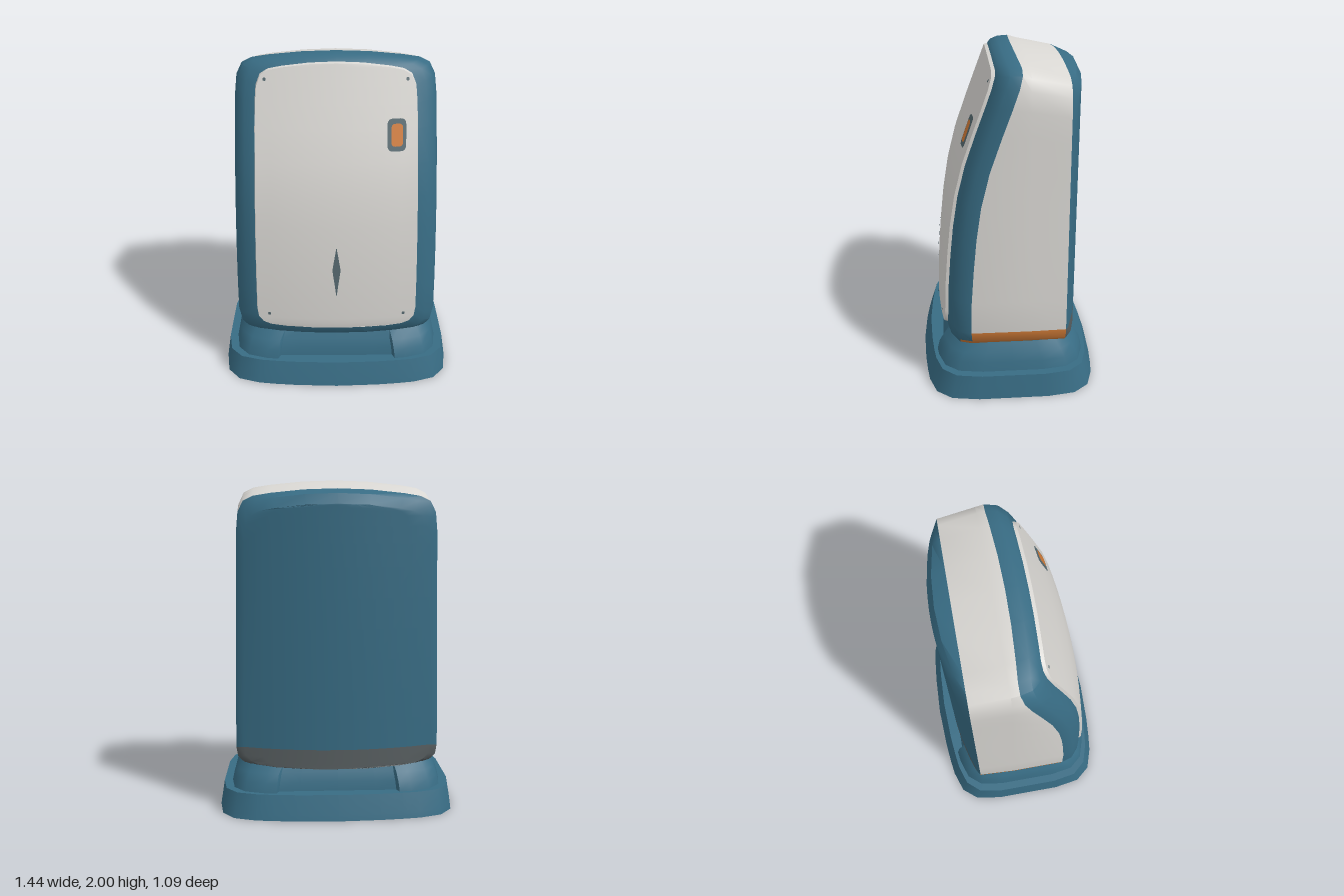
import * as THREE from 'three';
import { toCreasedNormals } from 'three/addons/utils/BufferGeometryUtils.js';

const mat = (name, color) => {
  const m = new THREE.MeshStandardMaterial({ color });
  m.name = name;
  return m;
};

// Collects triangles by colour and makes one smooth mesh with edges kept sharp
class Builder {
  constructor() { this.lists = new Map(); }
  tri(m, a, b, c) {
    const area = b.clone().sub(a).cross(c.clone().sub(a)).length();
    if (area < 1e-8) return;
    if (!this.lists.has(m)) this.lists.set(m, []);
    this.lists.get(m).push(a, b, c);
  }
  quad(m, a, b, c, d) { this.tri(m, a, b, c); this.tri(m, a, c, d); }
  // Joins two closed rings; pick(centre) returns the colour of each face
  band(r0, r1, pick) {
    r0.forEach((a, i) => {
      const j = (i + 1) % r0.length;
      const mid = a.clone().add(r0[j]).add(r1[i]).add(r1[j]).multiplyScalar(0.25);
      this.quad(pick(mid), a, r0[j], r1[j], r1[i]);
    });
  }
  fan(m, ring, up) {
    const c = new THREE.Vector3(0, ring[0].y, 0);
    ring.forEach((a, i) => {
      const b = ring[(i + 1) % ring.length];
      up ? this.tri(m, c, a, b) : this.tri(m, c, b, a);
    });
  }
  mesh(name, crease) {
    const pts = [], mats = [...this.lists.keys()];
    let geo = new THREE.BufferGeometry();
    mats.forEach((m, k) => {
      const l = this.lists.get(m);
      geo.addGroup(pts.length, l.length, k);
      pts.push(...l);
    });
    geo.setFromPoints(pts);
    geo = toCreasedNormals(geo, crease);
    const mesh = new THREE.Mesh(geo, mats.length > 1 ? mats : mats[0]);
    mesh.name = name;
    return mesh;
  }
}

// Curved front: depth by height, with a slight bulge across the width
const FRONT = [[0.27, 0.425], [0.4, 0.44], [0.6, 0.435], [0.8, 0.42], [1.0, 0.4], [1.2, 0.37],
  [1.4, 0.32], [1.6, 0.25], [1.8, 0.175], [2.0, 0.1]];
function frontZ(x, y) {
  let k = 0;
  while (k < FRONT.length - 2 && y > FRONT[k + 1][0]) k++;
  const [y0, z0] = FRONT[k], [y1, z1] = FRONT[k + 1];
  return z0 + (z1 - z0) * (y - y0) / (y1 - y0) - 0.16 * x * x;
}
const backZ = (x) => -0.44 + 0.3 * x * x;

// Right half of the body outline, bottom centre to top centre
const HALF = [[0, 0.27], [0.2, 0.27], [0.4, 0.275], [0.52, 0.285], [0.58, 0.305], [0.615, 0.34],
  [0.625, 0.4], [0.623, 0.6], [0.62, 0.8], [0.616, 1.0], [0.612, 1.2], [0.608, 1.4], [0.605, 1.6],
  [0.602, 1.75], [0.592, 1.86], [0.56, 1.925], [0.5, 1.955], [0.4, 1.972], [0.2, 1.993], [0, 2]];

const fit = ([x, y], sx, bottom, top) => [x * sx, bottom + (y - 0.27) / 1.73 * (top - bottom)];

function bodyRing(sx, bottom, top, zOf) {
  const left = HALF.slice(1, -1).reverse().map(([x, y]) => [-x, y]);
  return [...HALF, ...left].map((p) => {
    const [x, y] = fit(p, sx, bottom, top);
    return new THREE.Vector3(x, y, zOf(x, y));
  });
}

// Bulged face that fills an outline, row by row
function face(b, sx, bottom, top, zOf, forward, pick) {
  const cols = 10;
  const rows = HALF.map((p) => {
    const [w, y] = fit(p, sx, bottom, top);
    return Array.from({ length: cols + 1 }, (_, j) => {
      const x = w * (2 * j / cols - 1);
      return new THREE.Vector3(x, y, zOf(x, y));
    });
  });
  for (let i = 0; i < rows.length - 1; i++) {
    for (let j = 0; j < cols; j++) {
      const q = [rows[i][j], rows[i][j + 1], rows[i + 1][j + 1], rows[i + 1][j]];
      const m = pick((q[0].y + q[2].y) / 2);
      forward ? b.quad(m, ...q) : b.quad(m, q[3], q[2], q[1], q[0]);
    }
  }
}

// Quarter of the base outline, side to front, mirrored into a full ring
const QUARTER = [[1, 0], [1, 0.38], [0.965, 0.68], [0.86, 0.85], [0.68, 0.93], [0.57, 0.95],
  [0.545, 0.955], [0.35, 0.98], [0, 1]];
function baseRing(y, w, d, notch = Infinity) {
  const quarter = (sx, sz) => QUARTER.map(([u, v]) => new THREE.Vector3(
    sx * u * w, y, sz * (u < 0.56 ? Math.min(v * d, notch) : v * d)));
  return [...quarter(1, -1).slice(0, -1), ...quarter(-1, -1).reverse().slice(0, -1),
    ...quarter(-1, 1).slice(0, -1), ...quarter(1, 1).reverse().slice(0, -1)];
}

// Thin plate that follows the front panel
function plate(name, shape, m, lift) {
  const geo = new THREE.ShapeGeometry(shape, 6);
  const p = geo.attributes.position;
  for (let i = 0; i < p.count; i++) p.setZ(i, frontZ(p.getX(i), p.getY(i)) + lift);
  geo.computeVertexNormals();
  const mesh = new THREE.Mesh(geo, m);
  mesh.name = name;
  return mesh;
}
function pill(cx, cy, w, h, r) {
  const s = new THREE.Shape(), x = cx - w / 2, y = cy - h / 2;
  s.moveTo(x + r, y);
  s.lineTo(x + w - r, y); s.quadraticCurveTo(x + w, y, x + w, y + r);
  s.lineTo(x + w, y + h - r); s.quadraticCurveTo(x + w, y + h, x + w - r, y + h);
  s.lineTo(x + r, y + h); s.quadraticCurveTo(x, y + h, x, y + h - r);
  s.lineTo(x, y + r); s.quadraticCurveTo(x, y, x + r, y);
  return s;
}

export function createModel() {
  const group = new THREE.Group();
  group.name = 'cabinet';
  const teal = mat('teal', 0x386c84), white = mat('white', 0xd9d7d3);
  const orange = mat('orange', 0xd07b37), grey = mat('grey', 0x566970), darkGrey = mat('darkGrey', 0x585f61);

  // Body shell: back face, rounded back edge, white wrap, teal front frame
  const shell = new Builder();
  const backPick = (y) => (y < 0.39 ? darkGrey : teal);
  const rings = [
    bodyRing(0.9, 0.285, 1.85, backZ),
    bodyRing(0.95, 0.275, 1.91, (x) => Math.min(backZ(x) + 0.03, -0.335)),
    bodyRing(0.98, 0.27, 1.94, () => -0.32),
    bodyRing(1, 0.27, 1.985, () => -0.1),
    bodyRing(1, 0.27, 2, (x, y) => frontZ(x, y) - 0.13),
    bodyRing(0.97, 0.275, 1.998, (x, y) => frontZ(x, y) - 0.065),
    bodyRing(0.89, 0.305, 1.985, (x, y) => frontZ(x, y) - 0.028),
    bodyRing(0.79, 0.36, 1.965, (x, y) => frontZ(x, y) - 0.018),
  ];
  const rim = (c) => backPick(c.y);
  const wrap = (c) => (c.y < 0.39 ? (Math.abs(c.x) > 0.45 ? orange : teal) : white);
  const corner = (c) => (c.x > 0.5 && c.y < 0.37 ? orange : teal);
  const picks = [rim, rim, wrap, wrap, corner, () => teal, () => teal];
  face(shell, 0.9, 0.285, 1.85, backZ, false, backPick);
  picks.forEach((pick, i) => shell.band(rings[i], rings[i + 1], pick));
  group.add(shell.mesh('bodyShell', 0.65));

  // Raised white front panel
  const panel = new Builder();
  panel.band(rings[7], bodyRing(0.783, 0.366, 1.96, frontZ), () => white);
  face(panel, 0.783, 0.366, 1.96, frontZ, true, () => white);
  group.add(panel.mesh('frontPanel', 0.6));

  // Foot plinth
  const plinth = new Builder();
  const foot = [baseRing(0, 0.722, 0.546), baseRing(0.03, 0.718, 0.538), baseRing(0.145, 0.7, 0.5)];
  plinth.fan(teal, foot[0], false);
  for (let i = 0; i < 2; i++) plinth.band(foot[i], foot[i + 1], () => teal);
  plinth.fan(teal, foot[2], true);
  group.add(plinth.mesh('plinth', 0.7));

  // Neck with a recess at the front and back
  const neck = new Builder();
  const collar = [baseRing(0.144, 0.65, 0.48, 0.42), baseRing(0.2, 0.638, 0.465, 0.41),
    baseRing(0.25, 0.622, 0.43, 0.39), baseRing(0.31, 0.59, 0.38, 0.36)];
  for (let i = 0; i < 3; i++) neck.band(collar[i], collar[i + 1], () => teal);
  neck.fan(teal, collar[3], true);
  group.add(neck.mesh('neck', 0.7));

  // Indicator window, centre marker and corner screws
  group.add(plate('indicatorFrame', pill(0.352, 1.57, 0.11, 0.18, 0.035), grey, 0.005));
  group.add(plate('indicatorLight', pill(0.354, 1.57, 0.068, 0.125, 0.025), orange, 0.009));
  const sliver = new THREE.Shape([[0, 0.59], [0.012, 0.68], [0.025, 0.77], [0.012, 0.85], [0, 0.92],
    [-0.012, 0.85], [-0.025, 0.77], [-0.012, 0.68]].map(([x, y]) => new THREE.Vector2(x, y)));
  group.add(plate('centreMarker', sliver, grey, 0.005));
  for (const x of [-0.415, 0.415]) {
    for (const y of [0.46, 1.87]) group.add(plate('screw', pill(x, y, 0.018, 0.018, 0.008), grey, 0.005));
  }
  return group;
}
